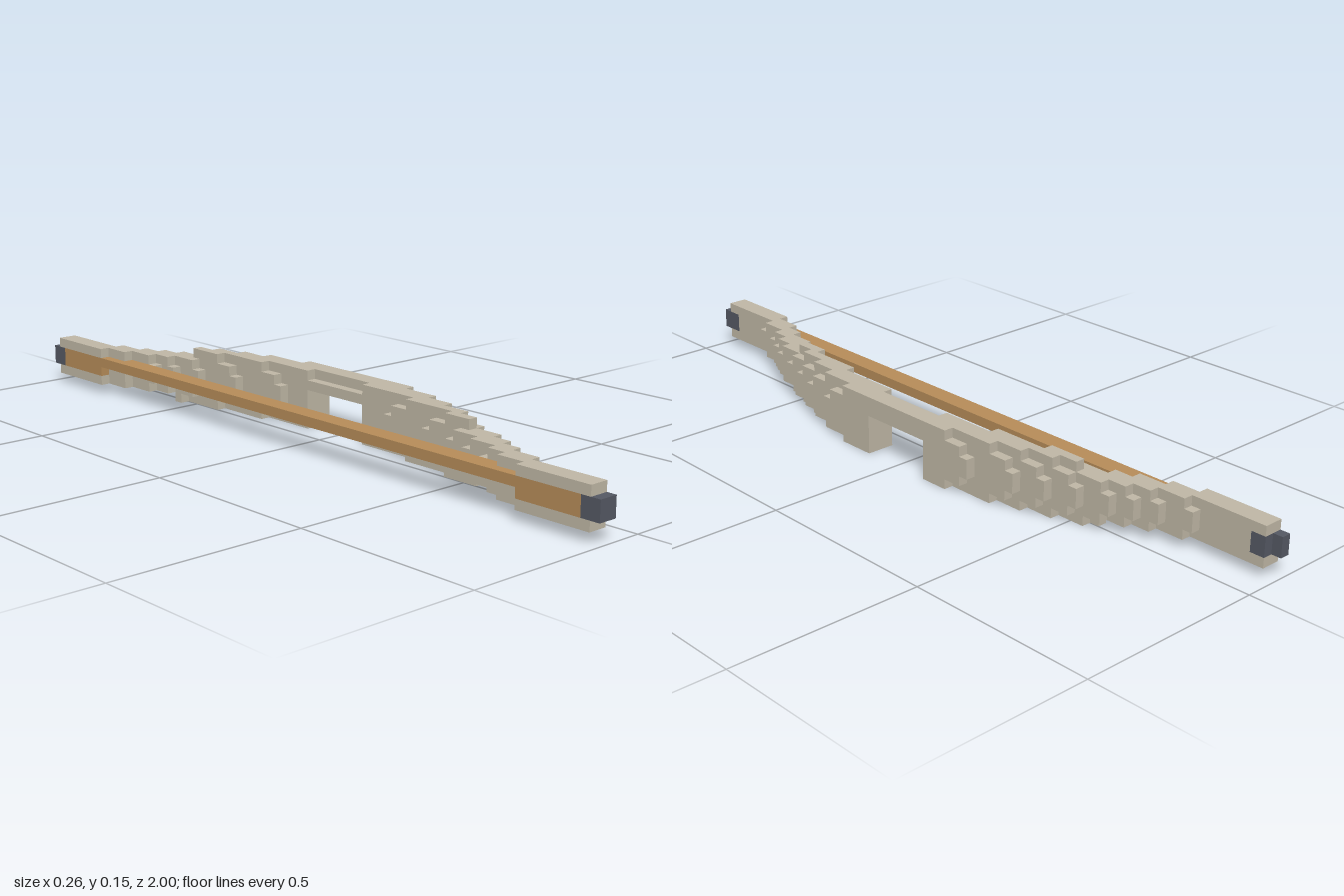
import * as THREE from 'three';
import { mergeGeometries } from 'three/addons/utils/BufferGeometryUtils.js';

const V = 2 / 78; // size of one block

// Box between two block-grid corners
function block(x0, x1, y0, y1, z0, z1) {
  const g = new THREE.BoxGeometry((x1 - x0) * V, (y1 - y0) * V, (z1 - z0) * V);
  g.translate((x0 + x1) * V / 2, (y0 + y1) * V / 2, (z0 + z1) * V / 2);
  return g;
}

export function createModel() {
  const group = new THREE.Group();
  const stone = new THREE.MeshStandardMaterial({ color: 0xc0b8a6 });
  const cord = new THREE.MeshStandardMaterial({ color: 0xb78d59 });
  const metal = new THREE.MeshStandardMaterial({ color: 0x555964 });
  stone.name = 'pale limb';
  cord.name = 'brown string';
  metal.name = 'dark tip';

  const add = (name, boxes, material) => {
    const mesh = new THREE.Mesh(mergeGeometries(boxes), material);
    mesh.name = name;
    group.add(mesh);
  };

  // Limb layers: [x, inner end, outer end] for each side, ends rounded by row
  const layers = {
    '1': [[-3, 24, 31], [-2, 21, 28], [-1, 18, 26], [0, 14, 24], [1, 8, 21], [2, 0, 18], [3, 0, 15], [4, 0, 11]],
    '-1': [[-3, 23, 31], [-2, 21, 28], [-1, 18, 26], [0, 13, 24], [1, 7, 21], [2, 0, 18], [3, 0, 15], [4, 0, 10]],
  };
  // Rows: [bottom, top, end taper, longest reach]
  const rows = [[0, 1, 3, 21], [1, 2, 1, 39], [2, 4, 0, 39], [4, 5, 1, 39], [5, 6, 3, 20]];

  for (const side of [1, -1]) {
    const sideName = side > 0 ? 'front' : 'back';
    const span = (x0, x1, y0, y1, a, b) =>
      side > 0 ? block(x0, x1, y0, y1, a, b) : block(x0, x1, y0, y1, -b, -a);

    const limb = [];
    for (const [x, inner, outer] of layers[side]) {
      for (const [y0, y1, taper, reach] of rows) {
        let a = inner > 0 ? inner + taper : 0;
        if (y0 < 4) a = Math.max(a, 4); // opening under the grip
        if (y0 === 5 && x === 2) a = 4;
        const b = Math.min(outer - taper, reach);
        if (b > a) limb.push(span(x, x + 1, y0, y1, a, b));
      }
    }
    // Stray block under the back limb
    if (side < 0) limb.push(span(-1, 0, 0, 1, 21, 22));
    add(sideName + 'Limb', limb, stone);

    // Straight limb end, grooved for the string
    add(sideName + 'LimbEnd', [
      span(-5, -4, 1, 2, 30, 38), span(-5, -4, 4, 5, 30, 38),
      span(-4, -3, 1, 2, 27, 38), span(-4, -3, 4, 5, 27, 38),
      span(-4, -3, 2, 4, 27, 36.5),
    ], stone);

    // String anchor set in the groove
    add(sideName + 'StringAnchor', [span(-5, -4, 2, 4, 30, 37)], cord);

    // Dark tip, narrower at the back
    add(sideName + 'Tip', [
      span(-5, -4, 2, 4, 37, 39),
      span(-4, -3, 2, 4, 36.5, side > 0 ? 39 : 38),
    ], metal);
  }

  // String
  add('string', [block(-5, -4, 3, 4, -30, 30), block(-4, -3, 3, 4, -27, 27)], cord);
  return group;
}
